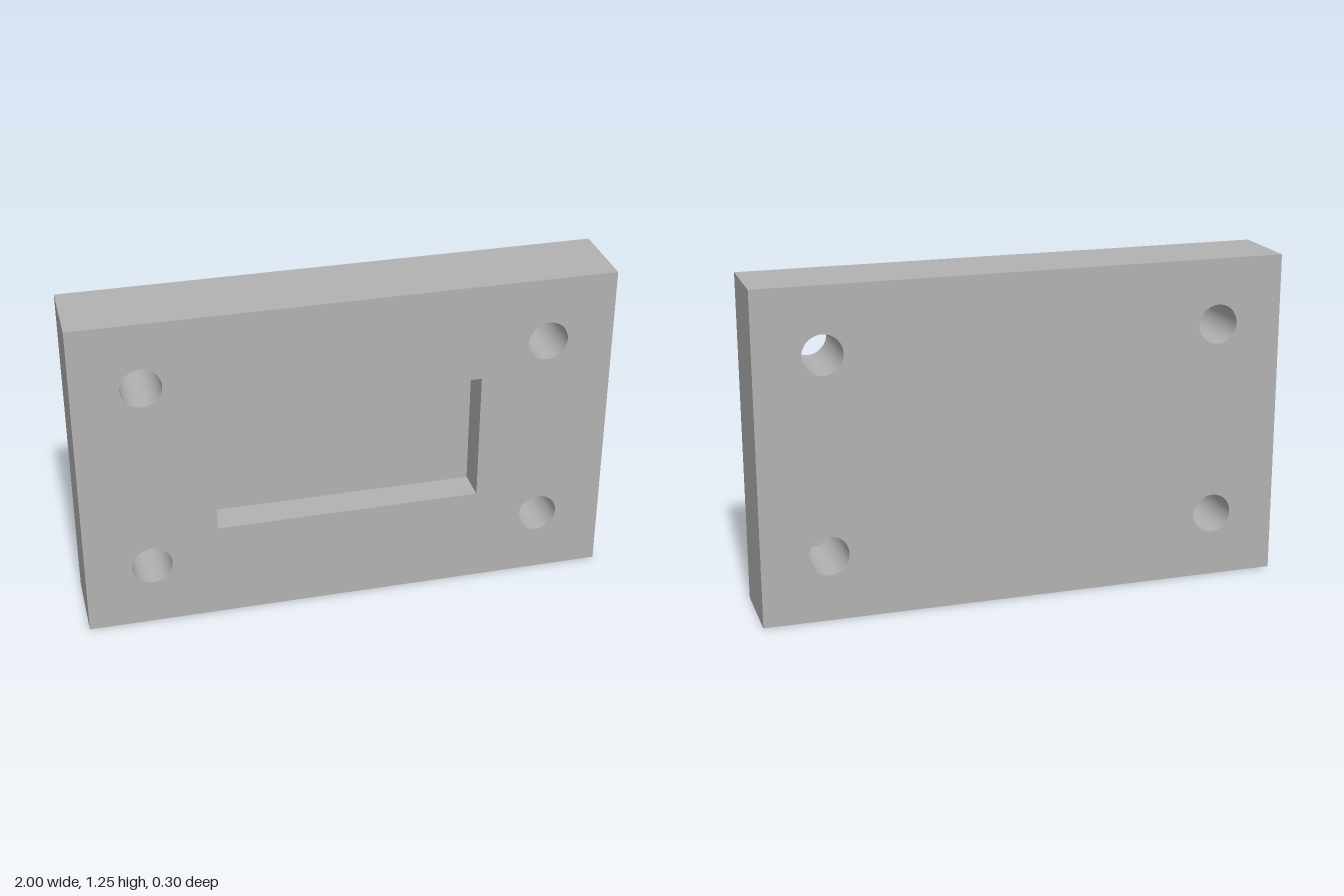
import * as THREE from 'three';

const W = 2, H = 1.25, T = 0.3;                 // plate size
const PW = 1, PH = 0.5, PD = 0.125;             // pocket size
const R = 0.075;                                // bolt hole radius
const HOLES = [-0.75, 0.75].flatMap(x => [-0.375, 0.375].map(y => [x, y]));

// Turn a closed surface inside out, for cavities
function inward(g) {
  g.setIndex([...g.index.array].reverse());
  const n = g.attributes.normal;
  for (let i = 0; i < n.array.length; i++) n.array[i] *= -1;
  return g;
}

// Outline centred on the origin; anticlockwise for shapes and holes alike
function rect(path, w, h) {
  return path.moveTo(-w / 2, -h / 2).lineTo(w / 2, -h / 2).lineTo(w / 2, h / 2).lineTo(-w / 2, h / 2).closePath();
}

// Flat face pierced by the bolt holes, and optionally by the pocket
function plateFace(withPocket) {
  const shape = rect(new THREE.Shape(), W, H);
  for (const [x, y] of HOLES) shape.holes.push(new THREE.Path().absarc(x, y, R, 0, Math.PI * 2));
  if (withPocket) shape.holes.push(rect(new THREE.Path(), PW, PH));
  return new THREE.ShapeGeometry(shape, 48);
}

export function createModel() {
  const grey = new THREE.MeshStandardMaterial({ color: 0xb2b2b2 });
  grey.name = 'plain grey';
  const model = new THREE.Group();
  model.name = 'mountingPlate';
  const add = (name, geometry, x = 0, y = 0, z = 0) => {
    const mesh = new THREE.Mesh(geometry, grey);
    mesh.name = name;
    mesh.position.set(x, y + H / 2, z);
    model.add(mesh);
  };

  // Front and back faces
  add('frontFace', plateFace(true), 0, 0, T / 2);
  add('backFace', plateFace(false).rotateY(Math.PI), 0, 0, -T / 2);

  // Outer edges: a box without its front and back
  const edges = new THREE.BoxGeometry(W, H, T);
  edges.setIndex([...edges.index.array].slice(0, 24));
  add('outerEdges', edges);

  // Blind pocket: an inside-out box without its front
  const pocket = new THREE.BoxGeometry(PW, PH, PD);
  const index = [...pocket.index.array];
  pocket.setIndex([...index.slice(0, 24), ...index.slice(30)]);
  add('pocket', inward(pocket), 0, 0, T / 2 - PD / 2);

  // Through holes
  for (const [x, y] of HOLES) {
    const bore = new THREE.CylinderGeometry(R, R, T, 96, 1, true).rotateX(Math.PI / 2);
    add('boltHole', inward(bore), x, y);
  }
  return model;
}
